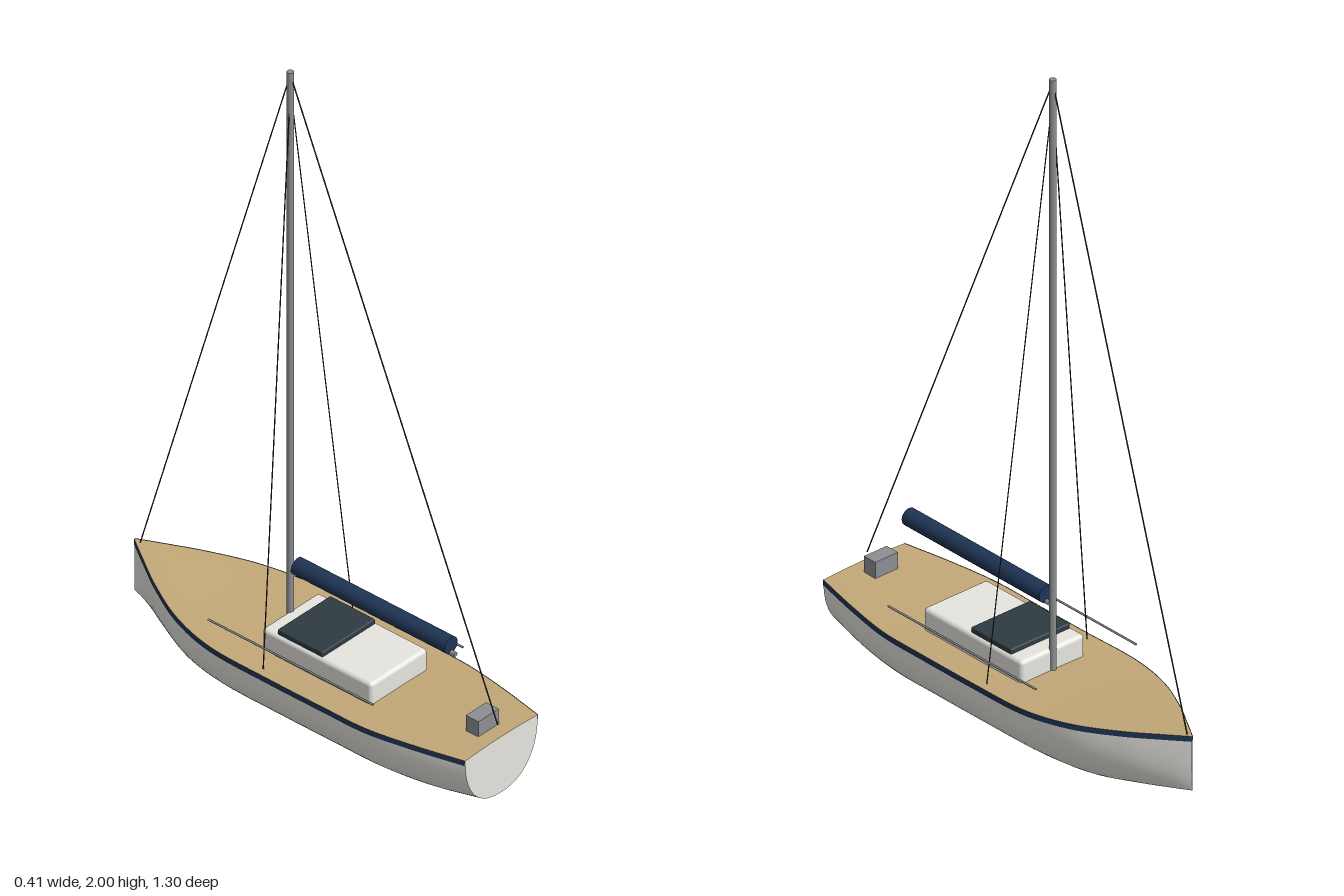
import * as THREE from 'three';
import { RoundedBoxGeometry } from 'three/addons/geometries/RoundedBoxGeometry.js';

const mat = (color) => new THREE.MeshStandardMaterial({ color, side: THREE.DoubleSide });
const V = (x, y, z) => new THREE.Vector3(x, y, z);

// Stations from bow to stern: z, half beam, sheer height, keel height
const STATIONS = [
  [-0.65, 0.001, 0.235, 0.07],
  [-0.58, 0.045, 0.228, 0.05],
  [-0.48, 0.105, 0.218, 0.027],
  [-0.35, 0.165, 0.207, 0.005],
  [-0.2, 0.198, 0.199, 0.003],
  [0, 0.2, 0.195, 0.001],
  [0.2, 0.2, 0.195, 0.001],
  [0.35, 0.198, 0.196, 0.001],
  [0.5, 0.175, 0.2, 0.007],
  [0.65, 0.143, 0.204, 0.03],
];

// Surface through rows of points, all of the same length
function skin(rows) {
  const n = rows[0].length, index = [];
  for (let i = 0; i < rows.length - 1; i++) {
    for (let j = 0; j < n - 1; j++) {
      const a = i * n + j, b = a + n;
      index.push(a, b, a + 1, a + 1, b, b + 1);
    }
  }
  const g = new THREE.BufferGeometry().setFromPoints(rows.flat());
  g.setIndex(index);
  g.computeVertexNormals();
  return g;
}

// Bar between two points
function bar(a, b, r, sides = 8) {
  const d = b.clone().sub(a);
  const g = new THREE.CylinderGeometry(r, r, d.length(), sides);
  g.applyQuaternion(new THREE.Quaternion().setFromUnitVectors(V(0, 1, 0), d.normalize()));
  const mid = a.clone().add(b).multiplyScalar(0.5);
  return g.translate(mid.x, mid.y, mid.z);
}

export function createModel() {
  const boat = new THREE.Group();
  boat.name = 'sailboat';
  const white = mat(0xe6e5df), tan = mat(0xc2a878), navy = mat(0x1f3555);
  const dark = mat(0x2f3b42), metal = mat(0x8c8f92), wire = mat(0x333333);
  const add = (name, geometry, material) => {
    const m = new THREE.Mesh(geometry, material);
    m.name = name;
    boat.add(m);
    return m;
  };
  const box = (name, w, y0, y1, z0, z1, r, material) => {
    const g = r ? new RoundedBoxGeometry(w, y1 - y0, z1 - z0, 2, r)
      : new THREE.BoxGeometry(w, y1 - y0, z1 - z0);
    add(name, g, material).position.set(0, (y0 + y1) / 2, (z0 + z1) / 2);
  };

  // Smooth sheer and keel lines sampled at matching stations
  const sheer = new THREE.CatmullRomCurve3(STATIONS.map(([z, b, s]) => V(b, s, z)), false, 'catmullrom').getPoints(54);
  const keel = new THREE.CatmullRomCurve3(STATIONS.map(([z, , , k]) => V(0, k, z)), false, 'catmullrom').getPoints(54);

  // Hull: full, rounded cross-sections from rail to rail
  const N = 28, POWER = 2 / 2.3;
  const hullRows = sheer.map((s, i) => Array.from({ length: N + 1 }, (_, j) => {
    const t = (j / N) * Math.PI, c = Math.cos(t);
    const x = Math.sign(c) * Math.abs(c) ** POWER * s.x;
    return V(x, s.y - (s.y - keel[i].y) * Math.abs(Math.sin(t)) ** POWER, s.z);
  }));
  add('hull', skin(hullRows), white);

  // Deck: slightly crowned
  const crown = 0.005;
  const deckY = (s, u) => s.y + crown * (1 - u * u) * Math.min(1, s.x / 0.1);
  add('deck', skin(sheer.map((s) => Array.from({ length: 13 }, (_, j) => {
    const u = j / 6 - 1;
    return V(u * s.x, deckY(s, u), s.z);
  }))), tan);

  // Flat transom closing the stern
  const last = sheer[sheer.length - 1], stern = hullRows[hullRows.length - 1];
  add('transom', skin([stern, stern.map((p) => V(p.x, deckY(last, p.x / last.x), p.z))]), white);

  // Navy stripe under each rail
  for (const side of [1, -1]) {
    const rows = sheer.map((s) => {
      const strip = [V(side * (s.x + 0.001), s.y + 0.001, s.z), V(side * (s.x + 0.002), s.y - 0.015, s.z)];
      return side > 0 ? strip : strip.reverse();
    });
    add(side > 0 ? 'leftStripe' : 'rightStripe', skin(rows), navy);
  }

  // Cabin, hatch and stern locker
  box('cabin', 0.224, 0.185, 0.265, -0.1, 0.29, 0.012, white);
  box('hatch', 0.208, 0.262, 0.28, -0.05, 0.11, 0.004, dark);
  box('sternLocker', 0.08, 0.2, 0.256, 0.56, 0.605, 0, metal);

  // Mast, boom and furled sail
  const mastZ = -0.098;
  add('mast', bar(V(0, 0.195, mastZ), V(0, 2, mastZ), 0.01, 12), metal);
  add('boom', bar(V(0, 0.397, mastZ), V(0, 0.397, 0.488), 0.007, 10), metal);
  add('furledSail', bar(V(0, 0.419, -0.073), V(0, 0.419, 0.472), 0.026, 12), navy);

  // Standing rigging
  const top = V(0, 1.99, mastZ);
  add('forestay', bar(top, V(0, 0.232, -0.63), 0.002, 6), wire);
  add('backstay', bar(top, V(0, 0.24, 0.637), 0.002, 6), wire);
  for (const side of [1, -1]) {
    const label = side > 0 ? 'left' : 'right';
    add(label + 'Shroud', bar(V(0, 1.95, mastZ), V(side * 0.177, 0.198, -0.035), 0.0017, 6), wire);
    add(label + 'Handrail', bar(V(side * 0.177, 0.265, -0.23), V(side * 0.177, 0.265, 0.355), 0.003, 8), metal);
  }
  return boat;
}
